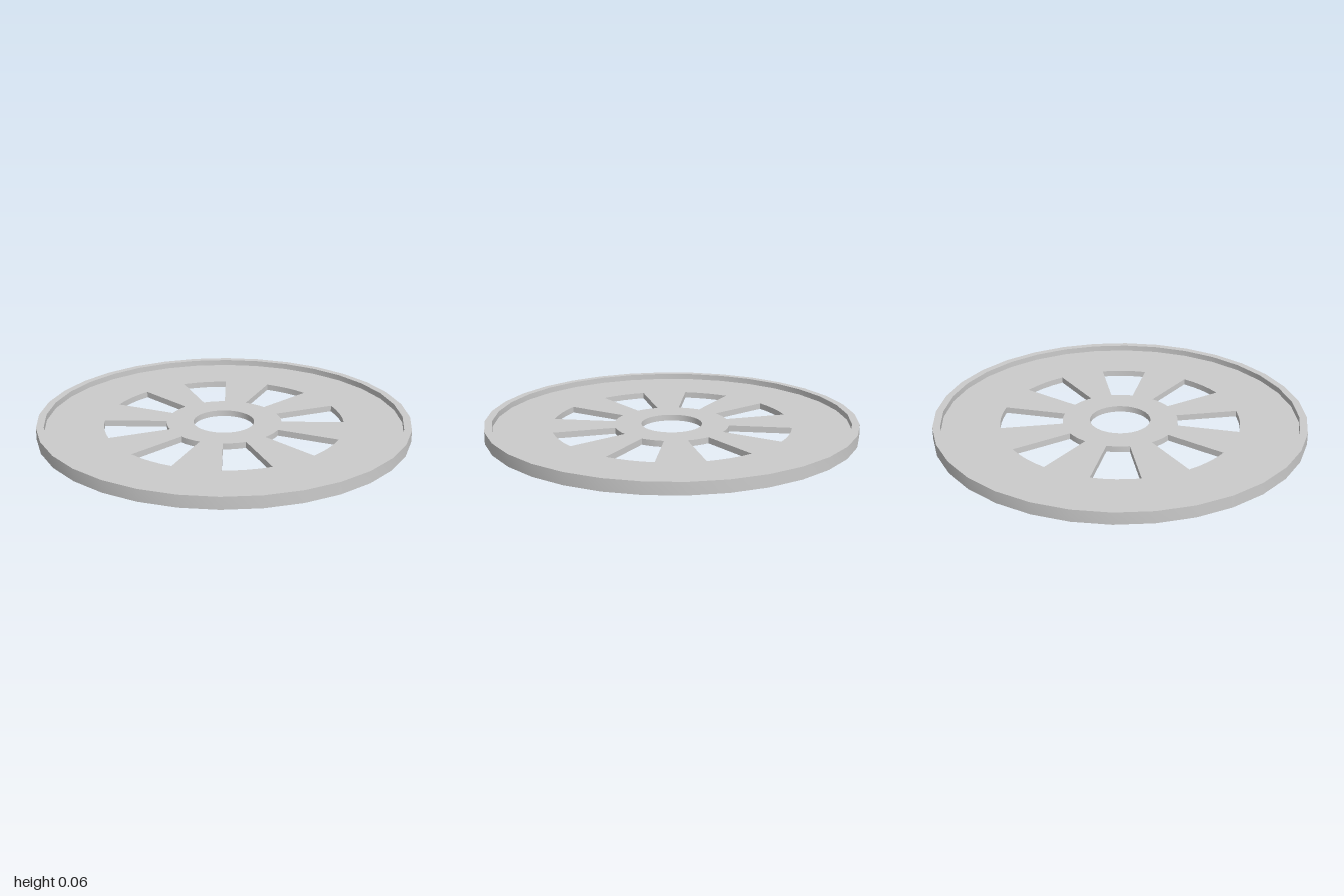
import * as THREE from 'three';
import { toCreasedNormals } from 'three/addons/utils/BufferGeometryUtils.js';

const HEIGHT = 0.065, FLOOR = 0.033; // rim height, web thickness
const RIM_OUTER = 1, RIM_INNER = 0.96, SIDES = 32;
const BORE = 0.163, SLOT_INNER = 0.31, SLOT_OUTER = 0.645;
const SLOTS = 8, SLOT_HALF_ANGLE = Math.PI / 16;

// Points along an arc, both ends included
function arc(radius, from, to, segments) {
  return Array.from({ length: segments + 1 }, (_, i) => {
    const a = from + ((to - from) * i) / segments;
    return new THREE.Vector2(radius * Math.cos(a), radius * Math.sin(a));
  });
}

const circle = (radius, segments) => arc(radius, 0, Math.PI * 2, segments).slice(0, -1);

export function createModel() {
  const group = new THREE.Group();
  group.name = 'slottedWheel';
  const material = new THREE.MeshStandardMaterial({ color: 0xcccccc });

  const add = (name, geometry) => {
    const mesh = new THREE.Mesh(toCreasedNormals(geometry, Math.PI / 6), material);
    mesh.name = name;
    group.add(mesh);
  };

  // Flat web with a round bore and a ring of wedge-shaped slots
  const web = new THREE.Shape(circle(RIM_INNER, SIDES));
  web.holes.push(new THREE.Path(circle(BORE, 48)));
  for (let i = 0; i < SLOTS; i++) {
    const mid = (i / SLOTS) * Math.PI * 2;
    const a = mid - SLOT_HALF_ANGLE, b = mid + SLOT_HALF_ANGLE;
    web.holes.push(new THREE.Path([...arc(SLOT_OUTER, a, b, 4), ...arc(SLOT_INNER, b, a, 4)]));
  }
  const webGeometry = new THREE.ExtrudeGeometry(web, { depth: FLOOR, bevelEnabled: false });
  webGeometry.rotateX(-Math.PI / 2);
  add('web', webGeometry);

  // Raised rim: underside, outer wall, top and inner lip
  const profile = [
    [RIM_INNER, 0], [RIM_OUTER, 0], [RIM_OUTER, HEIGHT], [RIM_INNER, HEIGHT], [RIM_INNER, FLOOR],
  ].map(([x, y]) => new THREE.Vector2(x, y));
  add('rim', new THREE.LatheGeometry(profile, SIDES));

  return group;
}
